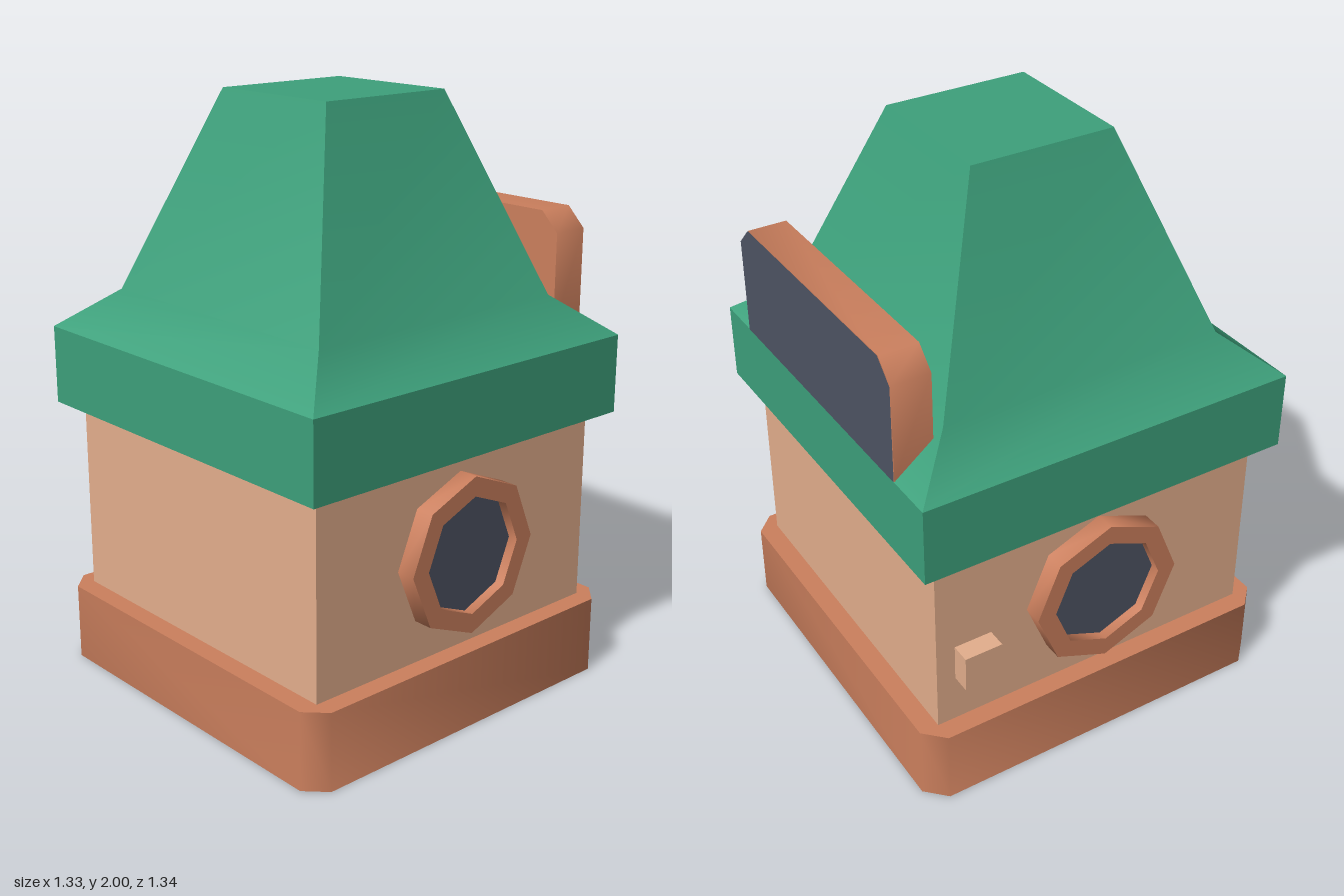
import * as THREE from 'three';
import { toCreasedNormals } from 'three/addons/utils/BufferGeometryUtils.js';

const flat = (name, color) => {
  const m = new THREE.MeshStandardMaterial({ color });
  m.name = name;
  return m;
};

const polygon = (points) => new THREE.Shape(points.map(([x, y]) => new THREE.Vector2(x, y)));

const octagon = (r) => Array.from({ length: 8 }, (_, i) => {
  const a = (i * Math.PI) / 4;
  return [r * Math.cos(a), r * Math.sin(a)];
});

// Extruded prism whose 45 degree corners are shaded smooth
const prism = (shape, depth) =>
  toCreasedNormals(new THREE.ExtrudeGeometry(shape, { depth, bevelEnabled: false }), Math.PI / 3);

// One flared roof side facing +z, smooth along its slope
function roofSide(profile) {
  const pos = [], index = [];
  profile.forEach(([h, y], i) => {
    pos.push(-h, y, h, h, y, h);
    if (i) {
      const a = 2 * (i - 1);
      index.push(a, a + 1, a + 3, a, a + 3, a + 2);
    }
  });
  const g = new THREE.BufferGeometry();
  g.setAttribute('position', new THREE.Float32BufferAttribute(pos, 3));
  g.setIndex(index);
  g.computeVertexNormals();
  return g;
}

export function createModel() {
  const model = new THREE.Group();
  const brown = flat('terracotta', 0xcb7f5d);
  const beige = flat('plaster', 0xe3ae8c);
  const green = flat('roofGreen', 0x3da07b);
  const dark = flat('darkGlass', 0x4e5363);

  const add = (name, geometry, material, parent = model) => {
    const mesh = new THREE.Mesh(geometry, material);
    mesh.name = name;
    parent.add(mesh);
    return mesh;
  };

  // Base slab with cut corners
  const s = 0.667, c = 0.6;
  const slab = polygon([[c, -s], [s, -c], [s, c], [c, s], [-c, s], [-s, c], [-s, -c], [-c, -s]]);
  add('base', prism(slab, 0.267).rotateX(-Math.PI / 2), brown);

  // Walls
  add('walls', new THREE.BoxGeometry(1.2, 0.667, 1.2), beige).position.y = 0.6;

  // Roof: fascia, four flared sides and a flat top
  const roof = new THREE.Group();
  roof.name = 'roof';
  model.add(roof);
  add('fascia', new THREE.BoxGeometry(1.333, 0.267, 1.333), green, roof).position.y = 1.0665;
  const side = roofSide([[0.667, 1.2], [0.5, 1.333], [0.25, 2]]);
  for (let i = 0; i < 4; i++) add('roofSide', side, green, roof).rotation.y = (i * Math.PI) / 2;
  add('roofTop', new THREE.PlaneGeometry(0.5, 0.5).rotateX(-Math.PI / 2), green, roof).position.y = 2;

  // Octagonal windows on both sides
  const ring = polygon(octagon(0.267));
  ring.holes.push(polygon(octagon(0.2)));
  const frame = prism(ring, 0.067);
  for (const sign of [1, -1]) {
    const win = new THREE.Group();
    win.name = sign > 0 ? 'leftWindow' : 'rightWindow';
    win.position.set(sign * 0.6, 0.6, 0);
    win.rotation.y = (sign * Math.PI) / 2;
    add('windowFrame', frame, brown, win);
    add('windowPane', new THREE.CircleGeometry(0.2, 8), dark, win).position.z = 0.033;
    model.add(win);
  }

  // Upright board behind the roof with a dark back face
  const board = polygon([[-0.5, 1.2], [0.5, 1.2], [0.5, 1.533], [0.433, 1.6], [-0.433, 1.6], [-0.5, 1.533]]);
  add('rearBoard', prism(board, 0.133), brown).position.z = -0.666;
  const back = add('rearBoardPanel', new THREE.ShapeGeometry(board), dark);
  back.rotation.y = Math.PI;
  back.position.z = -0.668;

  // Small block on the right wall near the back
  add('wallBlock', new THREE.BoxGeometry(0.067, 0.13, 0.133), beige).position.set(-0.633, 0.505, -0.467);

  return model;
}
